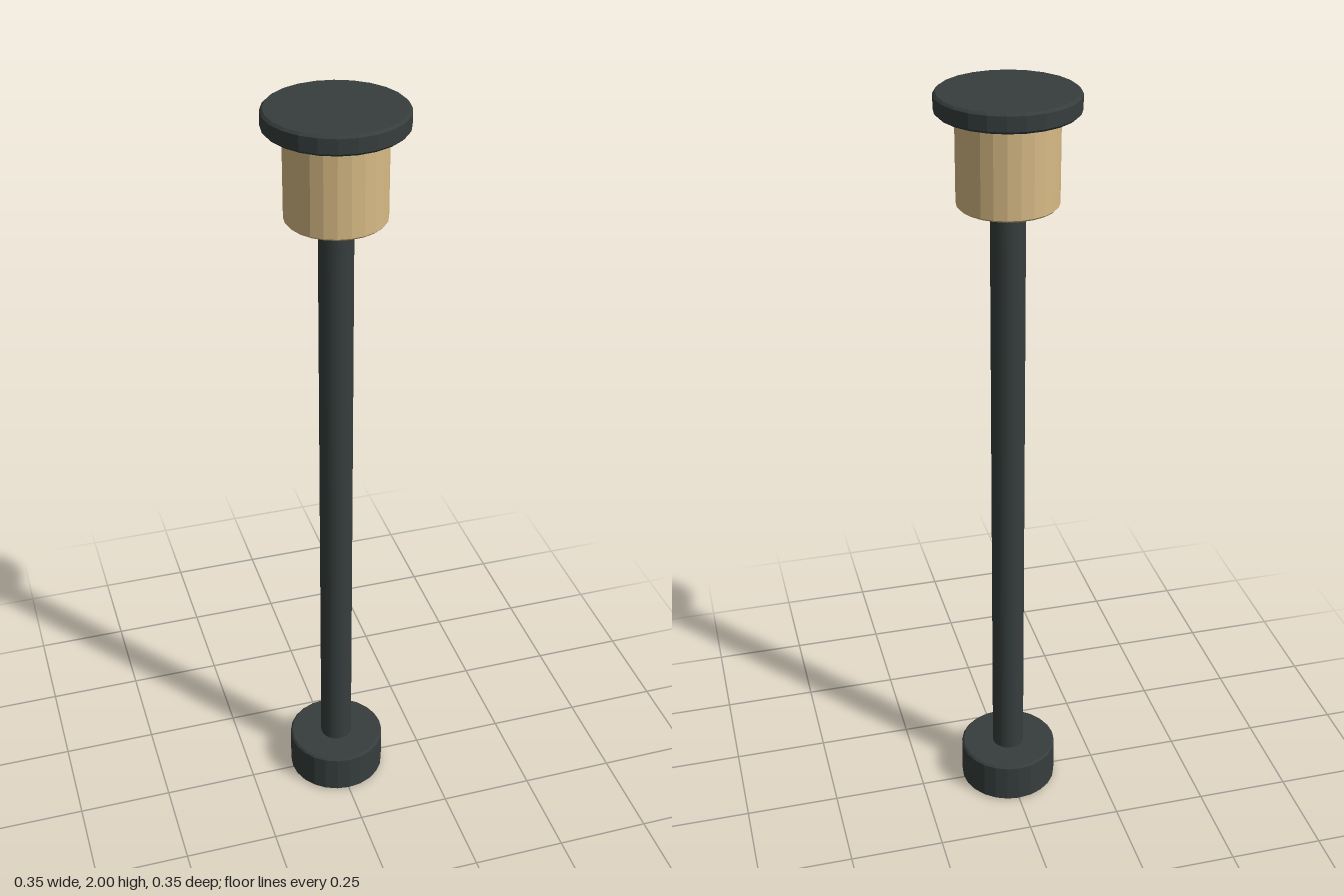
import * as THREE from 'three';

const SIDES = 24;

// Faceted disc or drum from y0 to y1 with a small chamfer on both rims
function drum(name, radius, y0, y1, bevel, material) {
  const profile = [
    [0, y0], [radius - bevel, y0], [radius, y0 + bevel],
    [radius, y1 - bevel], [radius - bevel, y1], [0, y1],
  ].map(([x, y]) => new THREE.Vector2(x, y));
  const geometry = new THREE.LatheGeometry(profile, SIDES).toNonIndexed();
  geometry.computeVertexNormals();
  const mesh = new THREE.Mesh(geometry, material);
  mesh.name = name;
  return mesh;
}

export function createModel() {
  const charcoal = new THREE.MeshStandardMaterial({ color: 0x363e3d });
  charcoal.name = 'charcoal metal';
  const tan = new THREE.MeshStandardMaterial({ color: 0xd8bb86 });
  tan.name = 'warm tan';

  const group = new THREE.Group();
  group.name = 'postLamp';

  // Foot at the ground
  group.add(drum('base', 0.131, 0, 0.116, 0.005, charcoal));

  // Slim post running up through the lamp to the cap
  const postGeometry = new THREE.CylinderGeometry(0.043, 0.043, 1.88, SIDES);
  const post = new THREE.Mesh(postGeometry, charcoal);
  post.name = 'post';
  post.position.y = 1.03;
  group.add(post);

  // Light drum and overhanging cap
  group.add(drum('lampDrum', 0.124, 1.727, 1.952, 0.005, tan));
  group.add(drum('cap', 0.173, 1.952, 2, 0.006, charcoal));

  return group;
}
